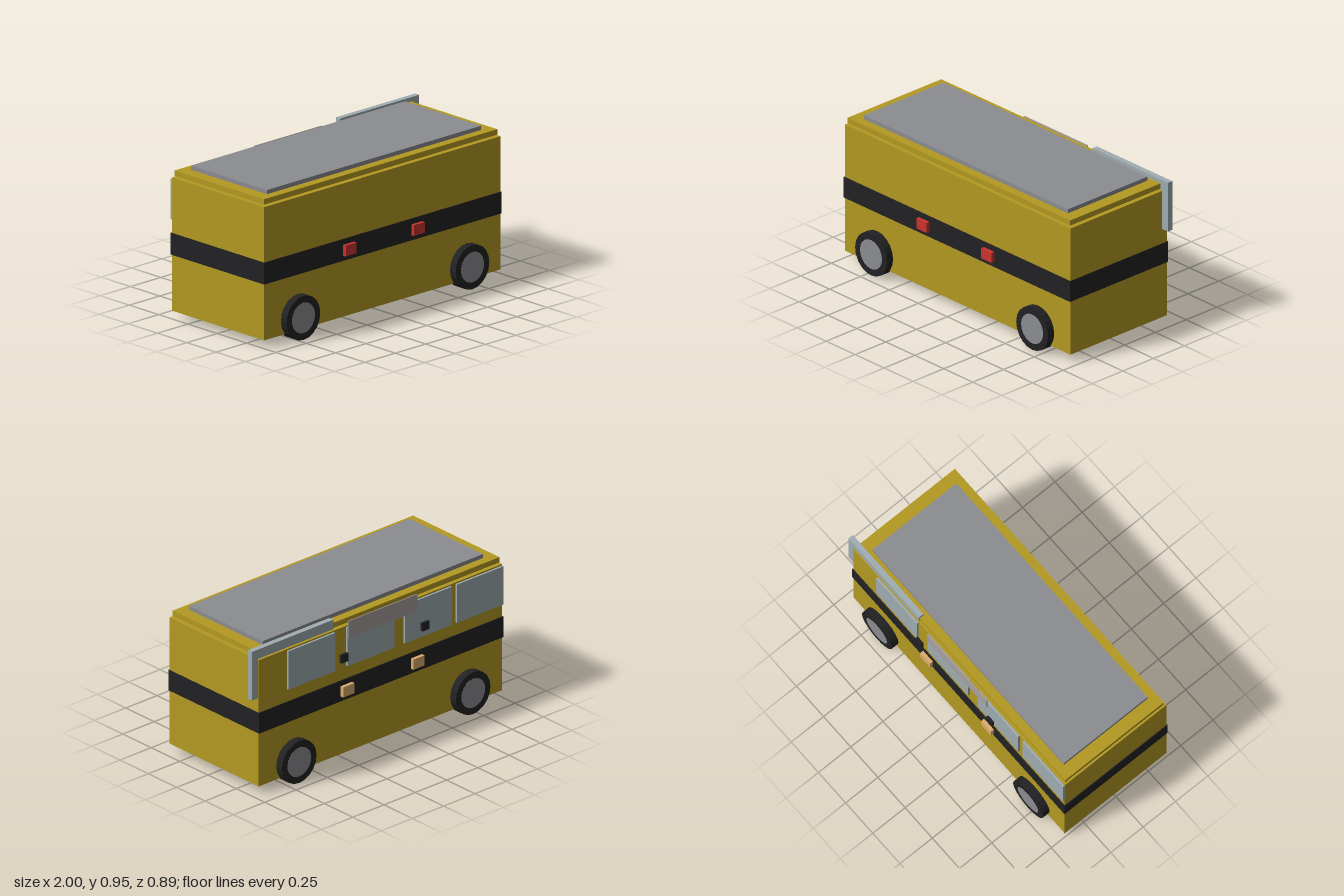
import * as THREE from 'three';

const material = (color) => new THREE.MeshStandardMaterial({ color, flatShading: true });

const paint = {
  yellow: material(0xb39a22),
  black: material(0x222224),
  grey: material(0x8c8d91),
  glass: material(0xa0adb2),
  awning: material(0xa8a1a1),
  red: material(0xcc342c),
  amber: material(0xdcae6c),
};

export function createModel() {
  const model = new THREE.Group();
  model.name = 'van';

  // Box given by its extents along each axis
  const box = (name, mat, [x0, x1], [y0, y1], [z0, z1], parent = model) => {
    const mesh = new THREE.Mesh(new THREE.BoxGeometry(x1 - x0, y1 - y0, z1 - z0), mat);
    mesh.position.set((x0 + x1) / 2, (y0 + y1) / 2, (z0 + z1) / 2);
    mesh.name = name;
    parent.add(mesh);
    return mesh;
  };

  // Body shell, belt stripe and stacked roof
  box('body', paint.yellow, [-0.995, 0.95], [0.05, 0.88], [-0.392, 0.394]);
  box('beltStripe', paint.black, [-1, 0.953], [0.4, 0.535], [-0.398, 0.4]);
  box('roofSlab', paint.yellow, [-0.985, 0.935], [0.89, 0.924], [-0.38, 0.382]);
  box('roofPanel', paint.grey, [-0.905, 0.855], [0.924, 0.95], [-0.323, 0.325]);

  // Wheels with hub discs
  const tyre = new THREE.CylinderGeometry(0.138, 0.138, 0.08, 20).rotateX(Math.PI / 2);
  const hub = new THREE.CylinderGeometry(0.095, 0.095, 0.08, 20).rotateX(Math.PI / 2);
  for (const x of [-0.718, 0.672]) {
    for (const side of [1, -1]) {
      const wheel = new THREE.Group();
      wheel.name = 'wheel';
      const tyreMesh = new THREE.Mesh(tyre, paint.black);
      tyreMesh.name = 'tyre';
      const hubMesh = new THREE.Mesh(hub, paint.grey);
      hubMesh.name = 'hub';
      hubMesh.position.z = side * 0.001;
      wheel.add(tyreMesh, hubMesh);
      wheel.position.set(x, 0.139, side * 0.403);
      model.add(wheel);
    }
  }

  // Red lamps on the front side, amber lamps and handles on the back side
  for (const x of [-0.305, 0.255]) {
    box('redLamp', paint.red, [x - 0.045, x + 0.045], [0.433, 0.5], [0.39, 0.422]);
    box('amberLamp', paint.amber, [x - 0.045, x + 0.045], [0.433, 0.5], [-0.421, -0.39]);
  }
  for (const x of [-0.348, 0.3]) {
    box('handle', paint.black, [x - 0.027, x + 0.027], [0.67, 0.724], [-0.435, -0.418]);
  }

  // Row of side windows and the awning over them
  for (const x of [-0.808, -0.395, 0.065, 0.537]) {
    box('sideWindow', paint.glass, [x - 0.187, x + 0.187], [0.618, 0.87], [-0.405, -0.385]);
  }
  box('awning', paint.awning, [-0.3, 0.25], [0.802, 0.915], [-0.411, -0.405]);

  // L-shaped pipe running along the roof edge and down the end wall
  const pipe = new THREE.Group();
  pipe.name = 'roofPipe';
  model.add(pipe);
  box('pipeRail', paint.glass, [0.35, 0.95], [0.888, 0.95], [-0.388, -0.353], pipe);
  box('pipeDrop', paint.glass, [0.95, 1], [0.63, 0.95], [-0.388, -0.353], pipe);

  return model;
}
